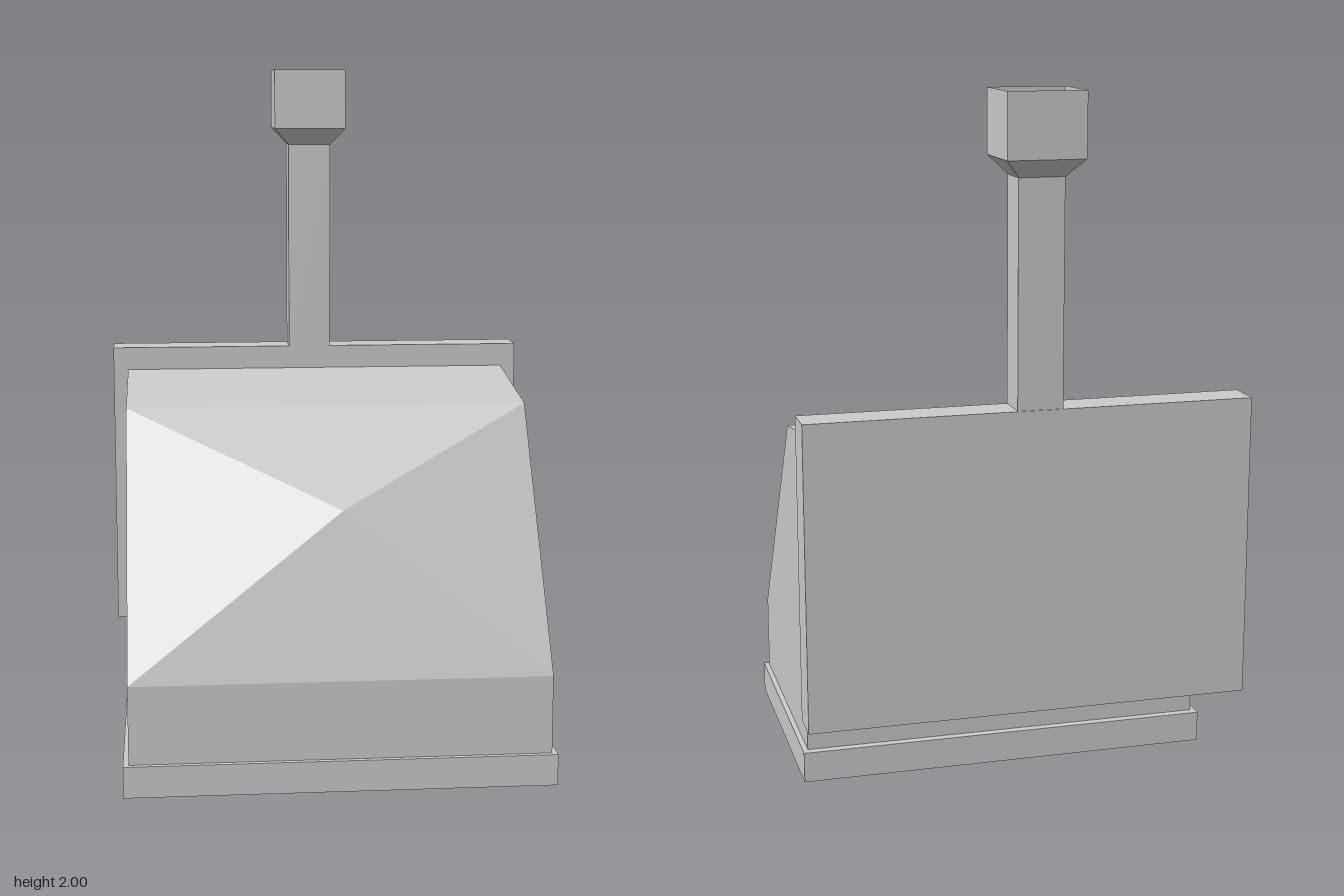
import * as THREE from 'three';
import { ConvexGeometry } from 'three/addons/geometries/ConvexGeometry.js';

const V = (x, y, z) => new THREE.Vector3(x, y, z);

// Open rectangular duct lofted through rings of [y, x0, x1, z0, z1]
function duct(rings) {
  const pos = [];
  const corners = ([y, x0, x1, z0, z1]) => [[x0, y, z1], [x1, y, z1], [x1, y, z0], [x0, y, z0]];
  for (let i = 0; i < rings.length - 1; i++) {
    const a = corners(rings[i]), b = corners(rings[i + 1]);
    for (let k = 0; k < 4; k++) {
      const n = (k + 1) % 4;
      pos.push(...a[k], ...a[n], ...b[n], ...a[k], ...b[n], ...b[k]);
    }
  }
  const g = new THREE.BufferGeometry();
  g.setAttribute('position', new THREE.Float32BufferAttribute(pos, 3));
  g.computeVertexNormals();
  return g;
}

export function createModel() {
  const group = new THREE.Group();
  const solid = new THREE.MeshStandardMaterial({ color: 0xcccccc, flatShading: true });
  const thin = new THREE.MeshStandardMaterial({ color: 0xcccccc, flatShading: true, side: THREE.DoubleSide });
  const add = (name, geometry, material = solid) => {
    const mesh = new THREE.Mesh(geometry, material);
    mesh.name = name;
    group.add(mesh);
    return mesh;
  };

  // Main housing: side profile (z, y) extruded across the width
  const W = 0.595;
  const profile = [[0.53, 0.06], [0.53, 0.315], [0.03, 1.01], [-0.39, 1.065],
    [-0.39, 0.325], [-0.205, 0.31], [-0.205, 0.06]];
  const side = new THREE.Shape(profile.map(([z, y]) => new THREE.Vector2(-z, y)));
  const housing = new THREE.ExtrudeGeometry(side, { depth: 2 * W, bevelEnabled: false });
  housing.translate(0, 0, -W).rotateY(Math.PI / 2);
  add('housing', housing);

  // Faceted front bulge: a low pyramid on the slanted face
  add('frontBulge', new ConvexGeometry([
    V(-W, 0.315, 0.53), V(W, 0.315, 0.53), V(W, 1.01, 0.03), V(-W, 1.01, 0.03), V(0.015, 0.77, 0.395),
  ]));

  // Base frame with a rectangular opening underneath
  const rect = (C, x, z) => new C([[-x, -z], [x, -z], [x, z], [-x, z]].map(p => new THREE.Vector2(...p)));
  const frame = rect(THREE.Shape, 0.61, 0.3875);
  frame.holes.push(rect(THREE.Path, 0.505, 0.3));
  const base = new THREE.ExtrudeGeometry(frame, { depth: 0.09, bevelEnabled: false });
  base.rotateX(-Math.PI / 2).translate(0, 0, 0.1575);
  add('baseFrame', base);

  // Back panel
  add('backPanel', new THREE.BoxGeometry(1.28, 0.875, 0.11)).position.set(0, 0.6975, -0.445);

  // Thin-walled chimney: square pipe, flare and open cup
  add('chimney', duct([
    [1.135, -0.085, 0.045, -0.497, -0.39],
    [1.77, -0.085, 0.045, -0.497, -0.39],
    [1.82, -0.13, 0.09, -0.547, -0.342],
    [2, -0.13, 0.09, -0.547, -0.342],
  ]), thin);

  return group;
}
